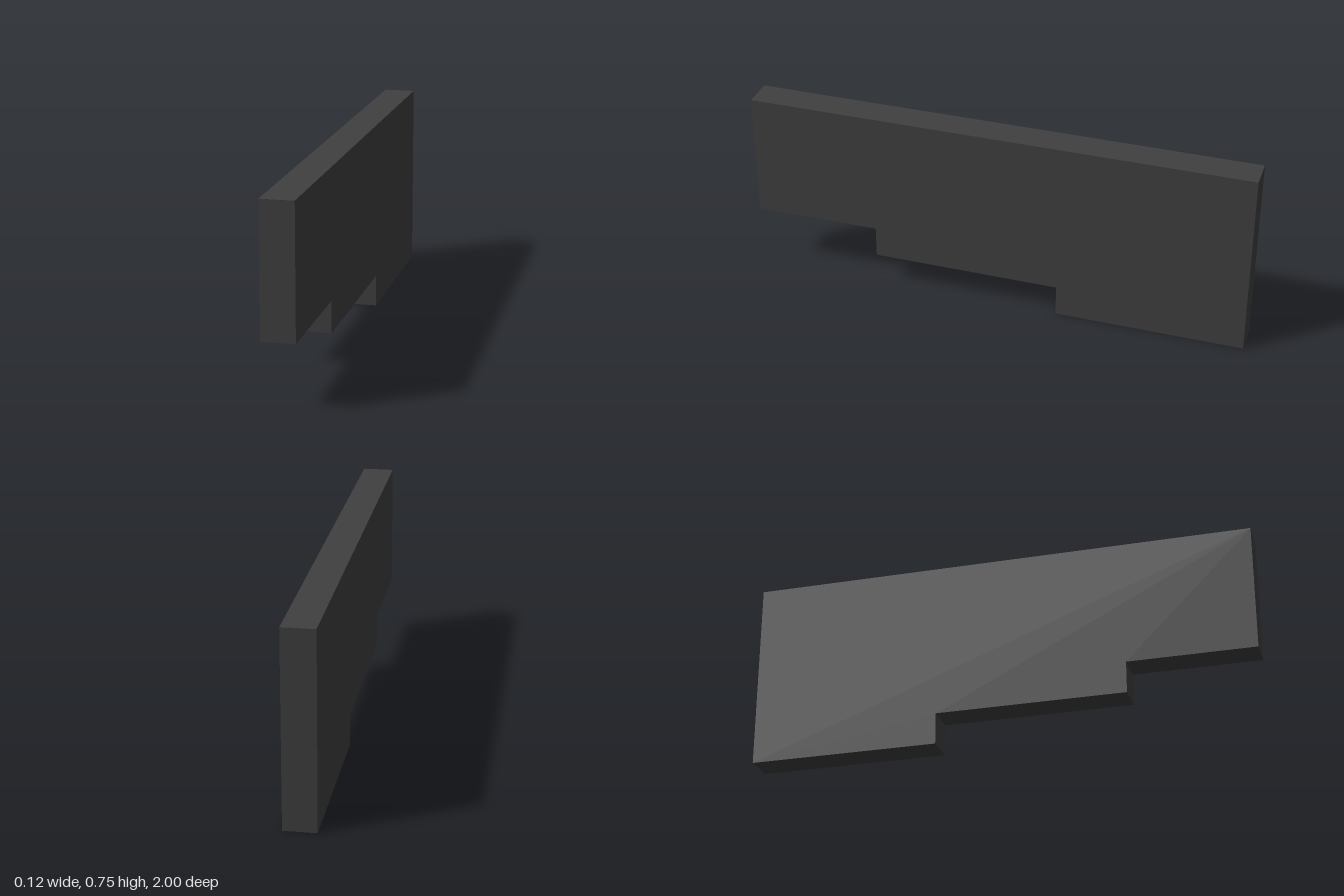
import * as THREE from 'three';

export function createModel() {
  const model = new THREE.Group();
  model.name = 'steppedPanel';

  const charcoal = new THREE.MeshStandardMaterial({ color: 0x404040 });
  charcoal.name = 'charcoal';

  // Side profile as (z, y): flat top, underside stepping up towards the front
  const profile = new THREE.Shape([
    [-1, 0], [-0.25, 0], [-0.25, 0.125], [0.5, 0.125],
    [0.5, 0.25], [1, 0.25], [1, 0.75], [-1, 0.75],
  ].map(([z, y]) => new THREE.Vector2(z, y)));

  // Extrude the thickness, then turn the profile to run along z
  const thickness = 0.125;
  const geometry = new THREE.ExtrudeGeometry(profile, { depth: thickness, bevelEnabled: false });
  geometry.translate(0, 0, -thickness / 2);
  geometry.rotateY(-Math.PI / 2);

  const panel = new THREE.Mesh(geometry, charcoal);
  panel.name = 'panel';
  model.add(panel);
  return model;
}
